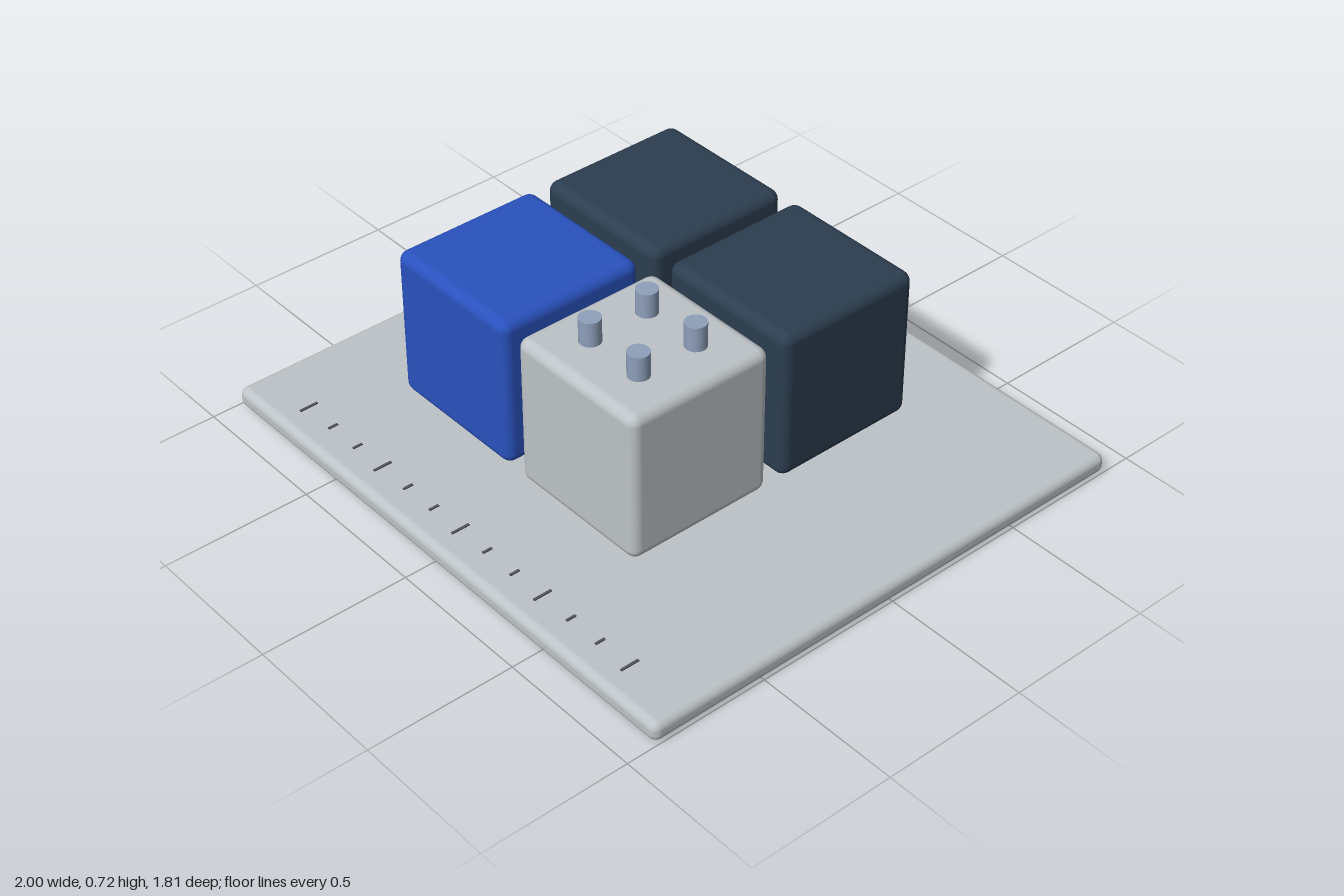
import * as THREE from 'three';
import { RoundedBoxGeometry } from 'three/addons/geometries/RoundedBoxGeometry.js';

function material(name, color) {
  const m = new THREE.MeshStandardMaterial({ color });
  m.name = name;
  return m;
}

export function createModel() {
  const group = new THREE.Group();
  const lightGrey = material('light grey', 0xbdc3c7);
  const navy = material('dark navy', 0x2c3e50);
  const blue = material('blue', 0x2a52be);
  const steel = material('steel blue', 0x8fa0bb);
  const markGrey = material('dark grey', 0x50555c);

  function add(name, geometry, mat, x, y, z) {
    const mesh = new THREE.Mesh(geometry, mat);
    mesh.name = name;
    mesh.position.set(x, y, z);
    group.add(mesh);
  }

  // Thin base plate with rounded edges
  const top = 0.07;
  add('basePlate', new RoundedBoxGeometry(2, top, 1.806, 4, 0.028), lightGrey, 0, top / 2, 0);

  // Four rounded cubes hovering over the plate
  const size = 0.52, cubeY = 0.375;
  const cube = new RoundedBoxGeometry(size, size, size, 4, 0.035);
  const leftX = 0.232, rightX = -0.345, frontZ = 0.286, backZ = -0.29;
  add('frontRightCube', cube, blue, rightX, cubeY, frontZ);
  add('frontLeftCube', cube, lightGrey, leftX, cubeY, frontZ);
  add('backRightCube', cube, navy, rightX, cubeY, backZ);
  add('backLeftCube', cube, navy, leftX, cubeY, backZ);

  // Four studs on the grey cube
  const studHeight = 0.1;
  const stud = new THREE.CylinderGeometry(0.035, 0.035, studHeight, 24);
  for (const sx of [-1, 1]) {
    for (const sz of [-1, 1]) {
      add('stud', stud, steel, leftX + sx * 0.107, 0.718 - studHeight / 2, frontZ + sz * 0.107);
    }
  }

  // Ruler marks along the front edge, every third one longer
  const longMark = new THREE.BoxGeometry(0.008, 0.006, 0.064);
  const shortMark = new THREE.BoxGeometry(0.008, 0.006, 0.034);
  for (let i = 0; i <= 12; i++) {
    const isLong = i % 3 === 0;
    add(isLong ? 'longMark' : 'shortMark', isLong ? longMark : shortMark, markGrey,
      (i - 6) * 0.128, top + 0.001, 0.795);
  }

  return group;
}
